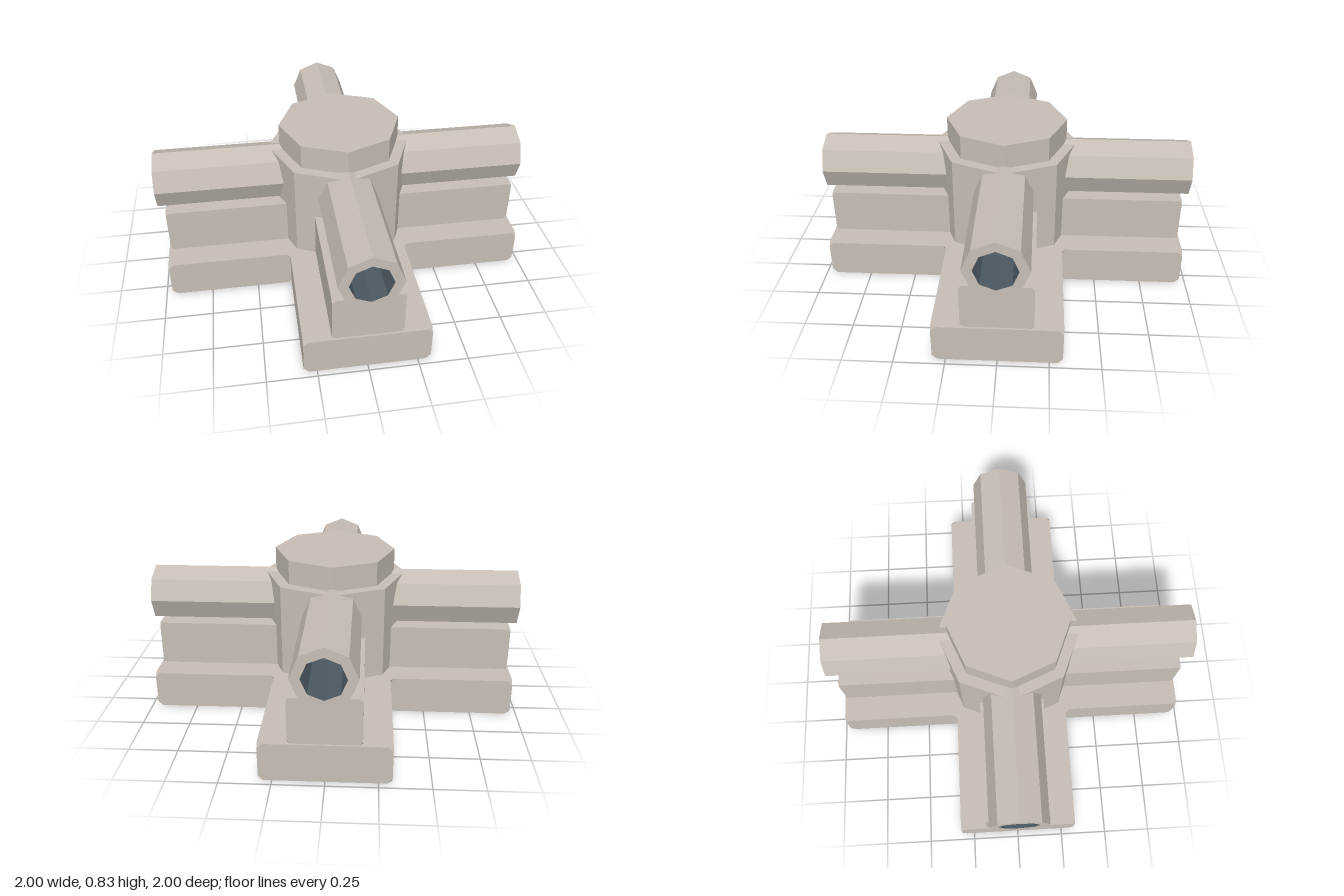
import * as THREE from 'three';
import { ConvexGeometry } from 'three/addons/geometries/ConvexGeometry.js';

const stone = new THREE.MeshStandardMaterial({ color: 0xc6beb5, flatShading: true });
stone.name = 'warm stone';
const dark = new THREE.MeshStandardMaterial({ color: 0x4c5a62, flatShading: true });
dark.name = 'dark bore';

const V = (x, y, z) => new THREE.Vector3(x, y, z);

function add(parent, name, geometry, material = stone) {
  const mesh = new THREE.Mesh(geometry, material);
  mesh.name = name;
  parent.add(mesh);
  return mesh;
}

// Block running along +z whose four outer corners are clipped by c
function clippedBlock(halfWidth, y0, y1, z0, z1, c) {
  const pts = [];
  for (const s of [-1, 1]) {
    for (const [y, up] of [[y0, 1], [y1, -1]]) {
      const x = s * halfWidth;
      pts.push(V(x, y, z0));
      pts.push(V(x - s * c, y, z1), V(x, y + up * c, z1), V(x, y, z1 - c));
    }
  }
  return new ConvexGeometry(pts);
}

// Tiny web filling an inner corner of the cross, tapering away from y
function cornerWeb(h, y, dir, c) {
  return new ConvexGeometry([V(h, y, h), V(h + c, y, h), V(h, y, h + c), V(h, y + dir * c, h)]);
}

// Eight-sided surface of revolution laid along +z
function octagonLathe(profile) {
  const pts = profile.map(([r, d]) => new THREE.Vector2(r, d));
  return new THREE.LatheGeometry(pts, 8).rotateX(Math.PI / 2).translate(0, 0.56, 0);
}

export function createModel() {
  const model = new THREE.Group();
  model.name = 'fourWayPipeJunction';

  const W = 0.315; // half width of the base arms

  // Centre: base square, octagonal column and cap
  add(model, 'baseCentre', new THREE.BoxGeometry(2 * W, 0.2, 2 * W)).position.y = 0.1;
  add(model, 'column', new THREE.CylinderGeometry(0.385, 0.385, 0.5, 8)).position.y = 0.45;
  add(model, 'cap', new THREE.CylinderGeometry(0.325, 0.325, 0.13, 8)).position.y = 0.765;

  // Shared geometry of one arm
  const parts = [
    ['baseArm', clippedBlock(W, 0, 0.2, W, 0.967, 0.025)],
    ['pipeSupport', clippedBlock(0.175, 0.2, 0.44, 0.25, 0.957, 0.015)],
    ['upperCornerWeb', cornerWeb(W, 0.2, -1, 0.022)],
    ['lowerCornerWeb', cornerWeb(W, 0, 1, 0.022)],
    ['pipe', octagonLathe([[0.155, 0.28], [0.155, 1], [0.105, 1]])],
    ['pipeBore', octagonLathe([[0.105, 1], [0.105, 0.28]]), dark],
  ];

  // Four identical arms
  ['front', 'left', 'back', 'right'].forEach((side, i) => {
    const arm = new THREE.Group();
    arm.name = side + 'Arm';
    for (const [name, geometry, material] of parts) add(arm, name, geometry, material);
    arm.rotation.y = i * Math.PI / 2;
    model.add(arm);
  });

  return model;
}
